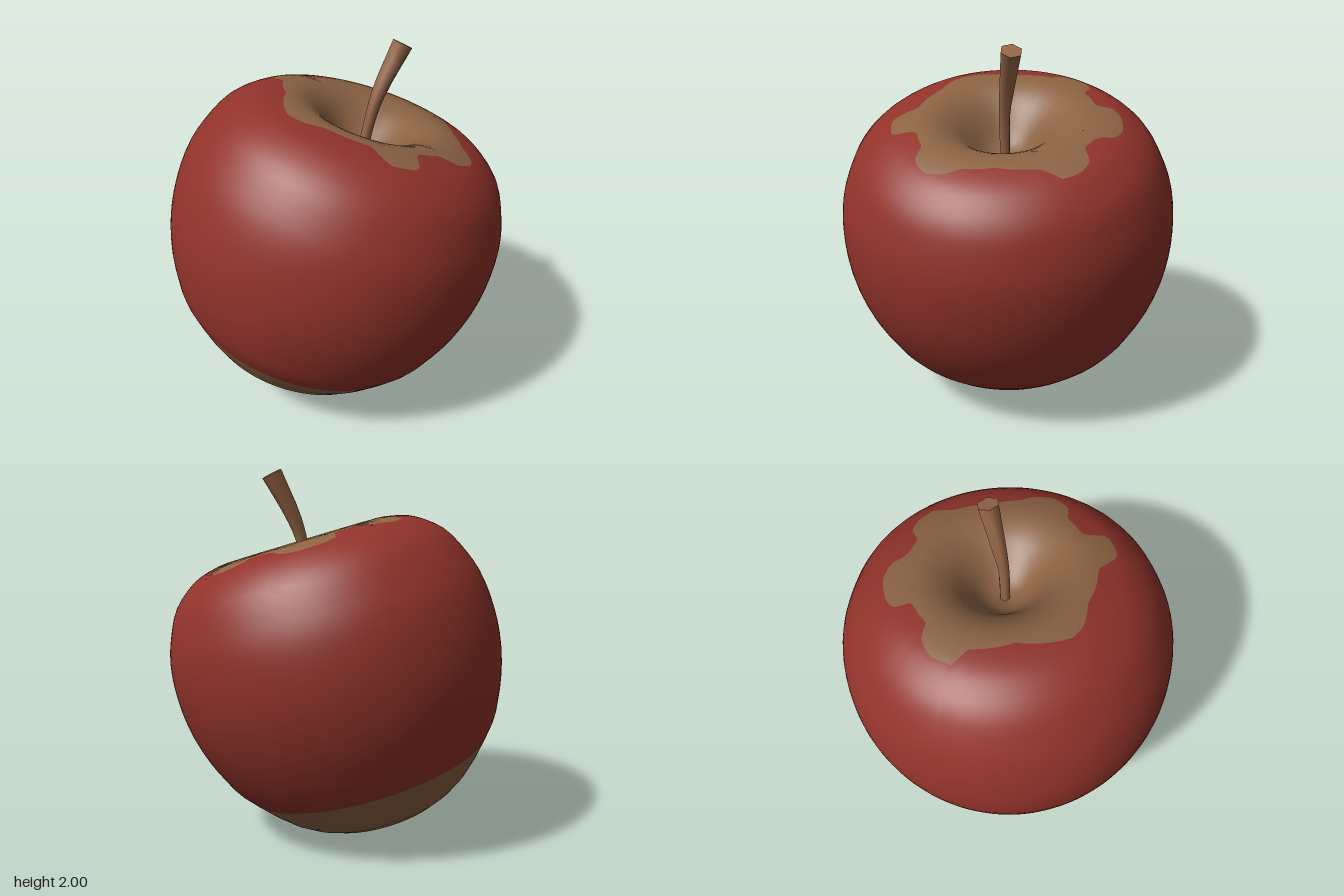
import * as THREE from 'three';

// Closed-ring surface: rows run from top to bottom, columns go round the axis
function ringSurface(rows, cols, pointAt) {
  const pos = [], index = [];
  for (let i = 0; i <= rows; i++) {
    for (let j = 0; j < cols; j++) pos.push(...pointAt(i, (j / cols) * Math.PI * 2).toArray());
  }
  for (let i = 0; i < rows; i++) {
    for (let j = 0; j < cols; j++) {
      const k = (j + 1) % cols;
      const a = i * cols + j, c = i * cols + k, b = a + cols, d = c + cols;
      index.push(a, c, b, b, c, d);
    }
  }
  const g = new THREE.BufferGeometry();
  g.setAttribute('position', new THREE.Float32BufferAttribute(pos, 3));
  g.setIndex(index);
  g.computeVertexNormals();
  return g;
}

// Fruit profile (radius, height) from the stem hollow down to the base
const profile = new THREE.SplineCurve([
  [0, 0.5], [0.1, 0.53], [0.2, 0.63], [0.29, 0.705], [0.41, 0.745], [0.565, 0.72],
  [0.665, 0.67], [0.765, 0.58], [0.835, 0.45], [0.882, 0.317], [0.903, 0.15], [0.898, -0.03],
  [0.862, -0.21], [0.8, -0.375], [0.73, -0.5], [0.52, -0.735], [0.28, -0.86], [0, -0.9],
].map(([r, h]) => new THREE.Vector2(r, h)));

// Ragged outline of the brown patch round the stem (x, z)
const patch = [
  [0.47, 0], [0.48, 0.15], [0.51, 0.25], [0.49, 0.33], [0.4, 0.39], [0.3, 0.37], [0.18, 0.42],
  [0.165, 0.46], [0.18, 0.52], [0.15, 0.56], [0.03, 0.58], [0, 0.56], [-0.07, 0.46],
  [-0.28, 0.37], [-0.4, 0.33], [-0.46, 0.27], [-0.46, 0], [-0.46, -0.22], [-0.52, -0.3],
  [-0.45, -0.4], [-0.36, -0.43], [-0.28, -0.4], [-0.15, -0.46], [-0.14, -0.5], [-0.15, -0.55],
  [-0.09, -0.59], [0.05, -0.6], [0.14, -0.56], [0.16, -0.49], [0.2, -0.45], [0.27, -0.41],
  [0.36, -0.44], [0.44, -0.4], [0.5, -0.32], [0.46, -0.22], [0.47, -0.15],
].map(([x, z]) => ({
  angle: (Math.atan2(z, x) + Math.PI * 2) % (Math.PI * 2),
  radius: Math.hypot(x, z),
}));
patch.push({ angle: Math.PI * 2, radius: patch[0].radius });

function patchRadius(angle) {
  const n = Math.max(1, patch.findIndex((p) => p.angle >= angle));
  const a = patch[n - 1], b = patch[n];
  return THREE.MathUtils.lerp(a.radius, b.radius, (angle - a.angle) / (b.angle - a.angle));
}

// Profile parameter at which a rising test first becomes true
function solve(lo, hi, passed) {
  for (let i = 0; i < 24; i++) {
    const mid = (lo + hi) / 2;
    if (passed(profile.getPoint(mid))) hi = mid; else lo = mid;
  }
  return hi;
}

export function createModel() {
  const red = new THREE.MeshStandardMaterial({ color: 0x91332a });
  red.name = 'red skin';
  const brown = new THREE.MeshStandardMaterial({ color: 0x8c6343 });
  brown.name = 'brown patch';
  const wood = new THREE.MeshStandardMaterial({ color: 0x976747 });
  wood.name = 'stem wood';

  const model = new THREE.Group();
  model.name = 'apple';

  // Fruit body: brown hollow, red skin and brown base share one smooth surface
  const topRows = 14, skinRows = 24, baseRows = 8, cols = 144;
  const uBase = solve(0.5, 1, (p) => p.y < -0.545);
  const bodyGeometry = ringSurface(topRows + skinRows + baseRows, cols, (i, angle) => {
    const edge = patchRadius(angle);
    const uTop = solve(0, 0.5, (p) => p.x > edge);
    let u;
    if (i <= topRows) u = uTop * (i / topRows);
    else if (i <= topRows + skinRows) u = THREE.MathUtils.lerp(uTop, uBase, (i - topRows) / skinRows);
    else u = THREE.MathUtils.lerp(uBase, 1, (i - topRows - skinRows) / baseRows);
    const p = profile.getPoint(u);
    const r = Math.max(p.x, 0);
    return new THREE.Vector3(r * Math.cos(angle) - 0.03, p.y, r * Math.sin(angle));
  });
  const perRow = cols * 6;
  bodyGeometry.addGroup(0, topRows * perRow, 0);
  bodyGeometry.addGroup(topRows * perRow, skinRows * perRow, 1);
  bodyGeometry.addGroup((topRows + skinRows) * perRow, baseRows * perRow, 0);
  const body = new THREE.Mesh(bodyGeometry, [brown, red]);
  body.name = 'fruitBody';
  body.position.y = 0.9;
  body.rotation.z = -0.29;
  model.add(body);

  // Stem: bent, widening towards its cut end
  const path = new THREE.CatmullRomCurve3([
    new THREE.Vector3(0.13, 1.36, 0), new THREE.Vector3(0.185, 1.62, 0),
    new THREE.Vector3(0.23, 1.75, -0.015), new THREE.Vector3(0.345, 1.975, -0.05),
  ]);
  const stemRows = 8, stemSides = 6;
  const stemPoint = (t, angle, scale = 1) => {
    const tangent = path.getTangent(t);
    const e1 = tangent.clone().cross(new THREE.Vector3(0, 0, 1)).normalize();
    const e2 = e1.clone().cross(tangent);
    const r = THREE.MathUtils.lerp(0.028, 0.056, t * t) * scale;
    return path.getPoint(t)
      .addScaledVector(e1, r * Math.cos(angle))
      .addScaledVector(e2, r * Math.sin(angle));
  };
  const stem = new THREE.Mesh(
    ringSurface(stemRows, stemSides, (i, a) => stemPoint(1 - i / stemRows, a)), wood);
  stem.name = 'stem';
  const stemEnd = new THREE.Mesh(ringSurface(1, stemSides, (i, a) => stemPoint(1, a, i)), wood);
  stemEnd.name = 'stemEnd';
  model.add(stem, stemEnd);

  return model;
}
